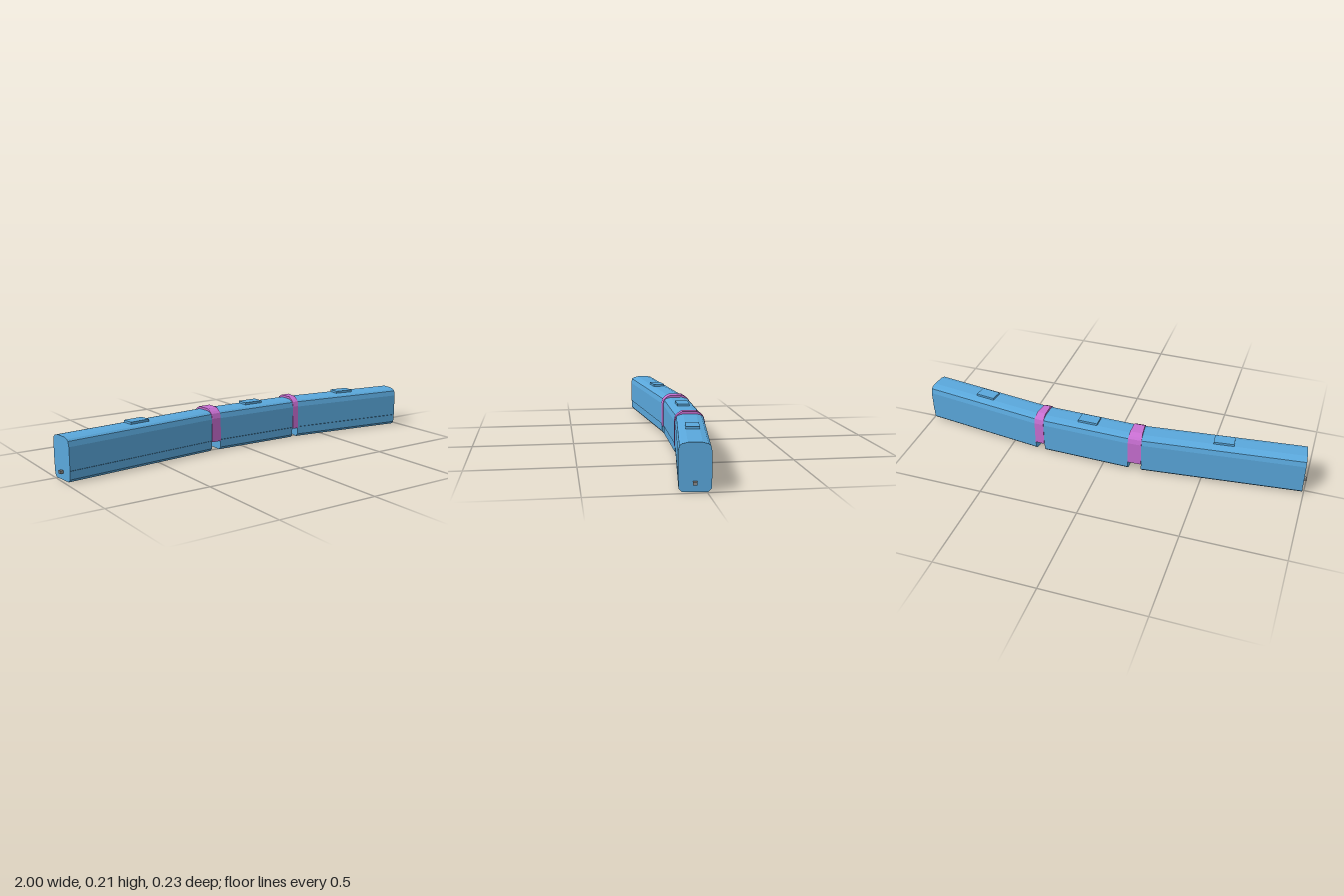
import * as THREE from 'three';

const paint = (name, color) => {
  const m = new THREE.MeshStandardMaterial({ color });
  m.name = name;
  return m;
};

// half sections as [half width, height], bottom to top
const carHalf = [[0.053, 0.001], [0.0665, 0.015], [0.0665, 0.054], [0.069, 0.056], [0.069, 0.165],
  [0.063, 0.19], [0.053, 0.198], [0.03, 0.204]];
const bellowsHalf = [[0.071, 0.049], [0.071, 0.168], [0.065, 0.192], [0.055, 0.202], [0.034, 0.215]];
const mirror = (half) => [...half, ...half.map(([u, y]) => [-u, y]).reverse()];

// solid between two stations; each station is a centre (x, z) and a heading
function loft(section, from, to) {
  const place = (s) => section.map(([u, y]) =>
    new THREE.Vector3(s.x - u * Math.sin(s.a), y, s.z + u * Math.cos(s.a)));
  const A = place(from), B = place(to), n = section.length, pos = [];
  const tri = (...v) => v.forEach((p) => pos.push(p.x, p.y, p.z));
  for (let i = 0; i < n; i++) {
    const j = (i + 1) % n;
    tri(A[i], B[i], B[j]);
    tri(A[i], B[j], A[j]);
  }
  const outline = section.map(([u, y]) => new THREE.Vector2(u, y));
  for (const [a, b, c] of THREE.ShapeUtils.triangulateShape(outline, [])) {
    tri(A[a], A[b], A[c]);
    tri(B[a], B[c], B[b]);
  }
  const g = new THREE.BufferGeometry();
  g.setAttribute('position', new THREE.Float32BufferAttribute(pos, 3));
  g.computeVertexNormals();
  return g;
}

export function createModel() {
  const model = new THREE.Group();
  model.name = 'articulatedTrain';
  const blue = paint('bodyBlue', 0x5aa8dc);
  const purple = paint('bellowsPurple', 0xc86fd2);
  const grey = paint('couplerGrey', 0x8c8c8c);

  const add = (name, geometry, material) => {
    const mesh = new THREE.Mesh(geometry, material);
    mesh.name = name;
    model.add(mesh);
    return mesh;
  };

  // car centre lines: x0, z0, x1, z1
  const cars = [
    ['rightCar', -0.986, 0.043, -0.193, -0.042],
    ['middleCar', -0.133, -0.044, 0.317, -0.036],
    ['leftCar', 0.358, -0.034, 0.983, 0.0475],
  ].map(([name, x0, z0, x1, z1]) => {
    const a = Math.atan2(z1 - z0, x1 - x0);
    return { name, a, from: { x: x0, z: z0, a }, to: { x: x1, z: z1, a } };
  });

  for (const { name, a, from, to } of cars) {
    add(name, loft(mirror(carHalf), from, to), blue);
    // roof unit at mid length
    const unit = add(name + 'RoofUnit', new THREE.BoxGeometry(0.1, 0.016, 0.06), blue);
    unit.position.set((from.x + to.x) / 2, 0.207, (from.z + to.z) / 2);
    unit.rotation.y = -a;
  }

  // wedge-shaped bellows between neighbouring cars
  for (let i = 0; i < 2; i++) {
    add('bellows' + (i + 1), loft(mirror(bellowsHalf), cars[i].to, cars[i + 1].from), purple);
  }

  // couplers on the outer ends
  for (const [name, s, side] of [['rightCoupler', cars[0].from, -1], ['leftCoupler', cars[2].to, 1]]) {
    const c = add(name, new THREE.BoxGeometry(0.03, 0.014, 0.017), grey);
    c.position.set(s.x + side * 0.001 * Math.cos(s.a), 0.039, s.z + side * 0.001 * Math.sin(s.a));
    c.rotation.y = -s.a;
  }
  return model;
}
